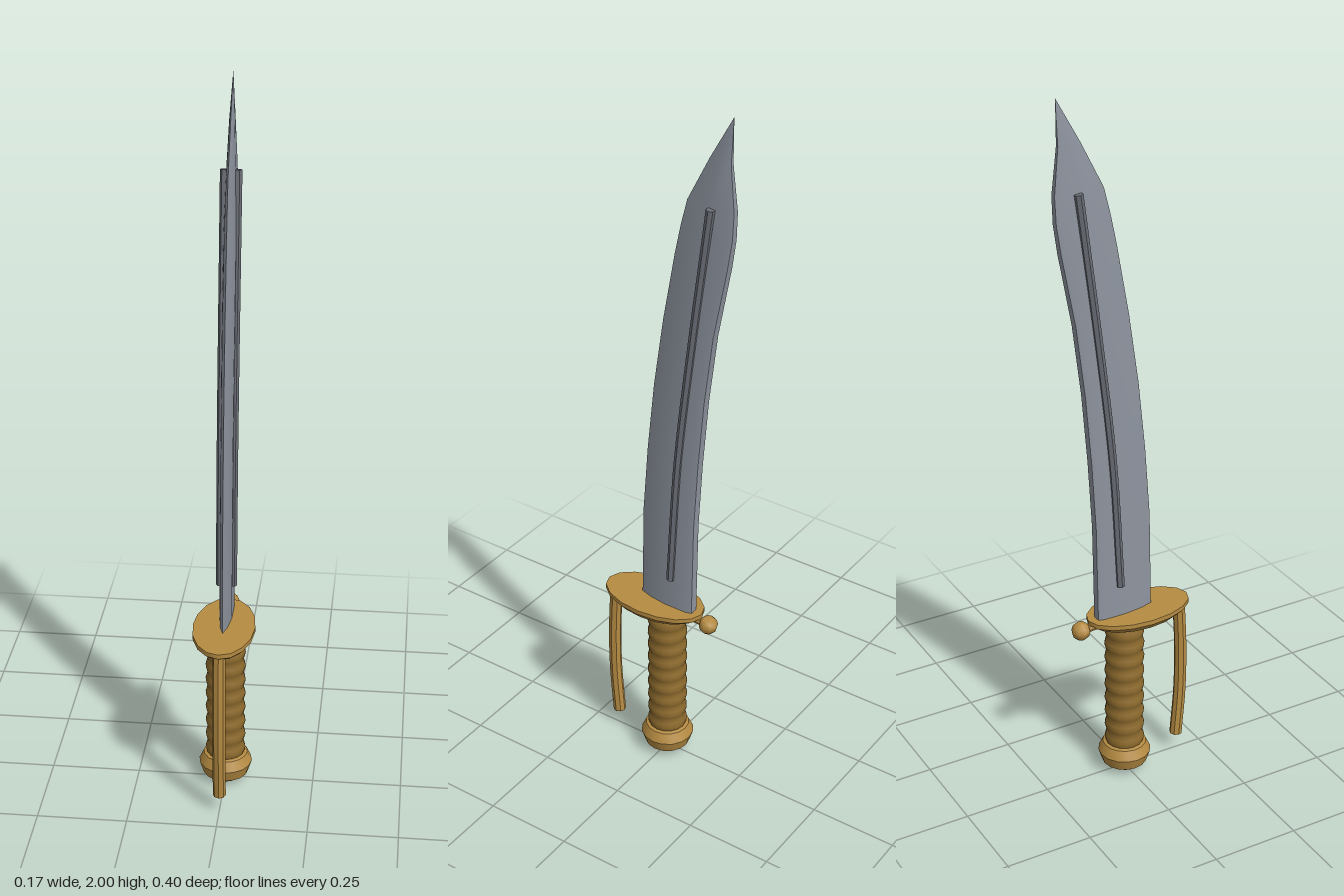
import * as THREE from 'three';
import { toCreasedNormals } from 'three/addons/utils/BufferGeometryUtils.js';

const steel = new THREE.MeshStandardMaterial({ name: 'steel', color: 0x8e949f });
const darkSteel = new THREE.MeshStandardMaterial({ name: 'dark steel', color: 0x6a6e76 });
const brass = new THREE.MeshStandardMaterial({ name: 'brass', color: 0xb58b42 });
const gripBrown = new THREE.MeshStandardMaterial({ name: 'grip brown', color: 0x8f6c2e });

function addPart(group, name, geometry, material, crease = 0.5) {
  const mesh = new THREE.Mesh(toCreasedNormals(geometry, crease), material);
  mesh.name = name;
  group.add(mesh);
  return mesh;
}

const lathe = (points, sides) =>
  new THREE.LatheGeometry(points.map(([r, y]) => new THREE.Vector2(r, y)), sides);

// Tube through [x, y, z] points, closed with flat end discs
function addRod(group, name, points, radius, sides, material) {
  const curve = new THREE.CatmullRomCurve3(points.map((p) => new THREE.Vector3(...p)));
  addPart(group, name, new THREE.TubeGeometry(curve, 20, radius, sides), material);
  for (const end of [0, 1]) {
    const cap = addPart(group, name + 'End', new THREE.CircleGeometry(radius, sides), material);
    const out = curve.getTangent(end).multiplyScalar(end ? 1 : -1);
    cap.position.copy(curve.getPoint(end));
    cap.quaternion.setFromUnitVectors(new THREE.Vector3(0, 0, 1), out);
  }
}

// Blade lofted from lens-shaped sections between cutting edge and spine
function bladeGeometry() {
  // height, edge z, spine z, half thickness
  const rows = [
    [0.5, 0.085, -0.088, 0.017], [0.8, 0.079, -0.093, 0.017], [1.0, 0.064, -0.105, 0.017],
    [1.2, 0.043, -0.122, 0.017], [1.4, 0.014, -0.147, 0.017], [1.6, -0.022, -0.185, 0.016],
    [1.68, -0.039, -0.197, 0.014], [1.755, -0.058, -0.2, 0.012], [1.88, -0.122, -0.187, 0.007],
    [2.0, -0.19, -0.19, 0],
  ];
  // fraction from edge to spine, fraction of thickness
  const section = [[0, 0], [0.2, 0.6], [0.5, 1], [0.9, 1], [1, 0.7], [1, -0.7], [0.9, -1], [0.5, -1], [0.2, -0.6]];
  const n = section.length;
  const positions = [], index = [];
  rows.forEach(([y, edge, spine, t], i) => {
    for (const [f, w] of section) positions.push(w * t, y, edge + (spine - edge) * f);
    if (i === rows.length - 1) return;
    for (let j = 0; j < n; j++) {
      const a = i * n + j, b = i * n + ((j + 1) % n);
      index.push(a, b, b + n, a, b + n, a + n);
    }
  });
  const geometry = new THREE.BufferGeometry();
  geometry.setAttribute('position', new THREE.Float32BufferAttribute(positions, 3));
  geometry.setIndex(index);
  return geometry;
}

export function createModel() {
  const sword = new THREE.Group();
  sword.name = 'sword';

  addPart(sword, 'blade', bladeGeometry(), steel);

  // Raised rib on each face of the blade
  for (const side of [1, -1]) {
    const path = [[0.61, -0.022], [1.0, -0.046], [1.4, -0.092], [1.6, -0.118], [1.755, -0.138]];
    addRod(sword, side > 0 ? 'leftRib' : 'rightRib',
      path.map(([y, z]) => [side * 0.017, y, z]), 0.012, 6, darkSteel);
  }

  // Oval guard, domed underneath
  const guard = addPart(sword, 'guard',
    lathe([[0, 0.465], [0.5, 0.469], [0.82, 0.485], [1, 0.504], [1, 0.517], [0, 0.517]], 16), brass);
  guard.scale.set(0.086, 1, 0.157);
  guard.position.z = 0.043;

  // Small ball finial behind the guard
  const ball = addPart(sword, 'finialBall', new THREE.SphereGeometry(0.027, 8, 6), brass, 0.9);
  ball.position.set(0, 0.492, -0.137);
  addRod(sword, 'finialNeck', [[0, 0.496, -0.07], [0, 0.492, -0.13]], 0.011, 8, brass);

  // Knuckle bow in front of the hand
  addRod(sword, 'knuckleBow',
    [[0, 0.5, 0.175], [0, 0.34, 0.183], [0, 0.2, 0.182], [0, 0.052, 0.171]], 0.018, 8, brass);

  // Grip with evenly spaced swells
  const gripProfile = [];
  const swells = 9, steps = swells * 4;
  for (let i = 0; i <= steps; i++) {
    const u = i / steps;
    gripProfile.push([0.0535 - 0.003 * Math.cos(u * swells * Math.PI * 2), 0.08 + u * 0.4]);
  }
  addPart(sword, 'grip', lathe(gripProfile, 16), gripBrown, 0.8);

  // Pommel
  addPart(sword, 'pommel',
    lathe([[0, 0], [0.038, 0.005], [0.064, 0.024], [0.075, 0.058], [0.062, 0.086], [0.045, 0.092], [0, 0.092]], 16),
    brass);

  return sword;
}
